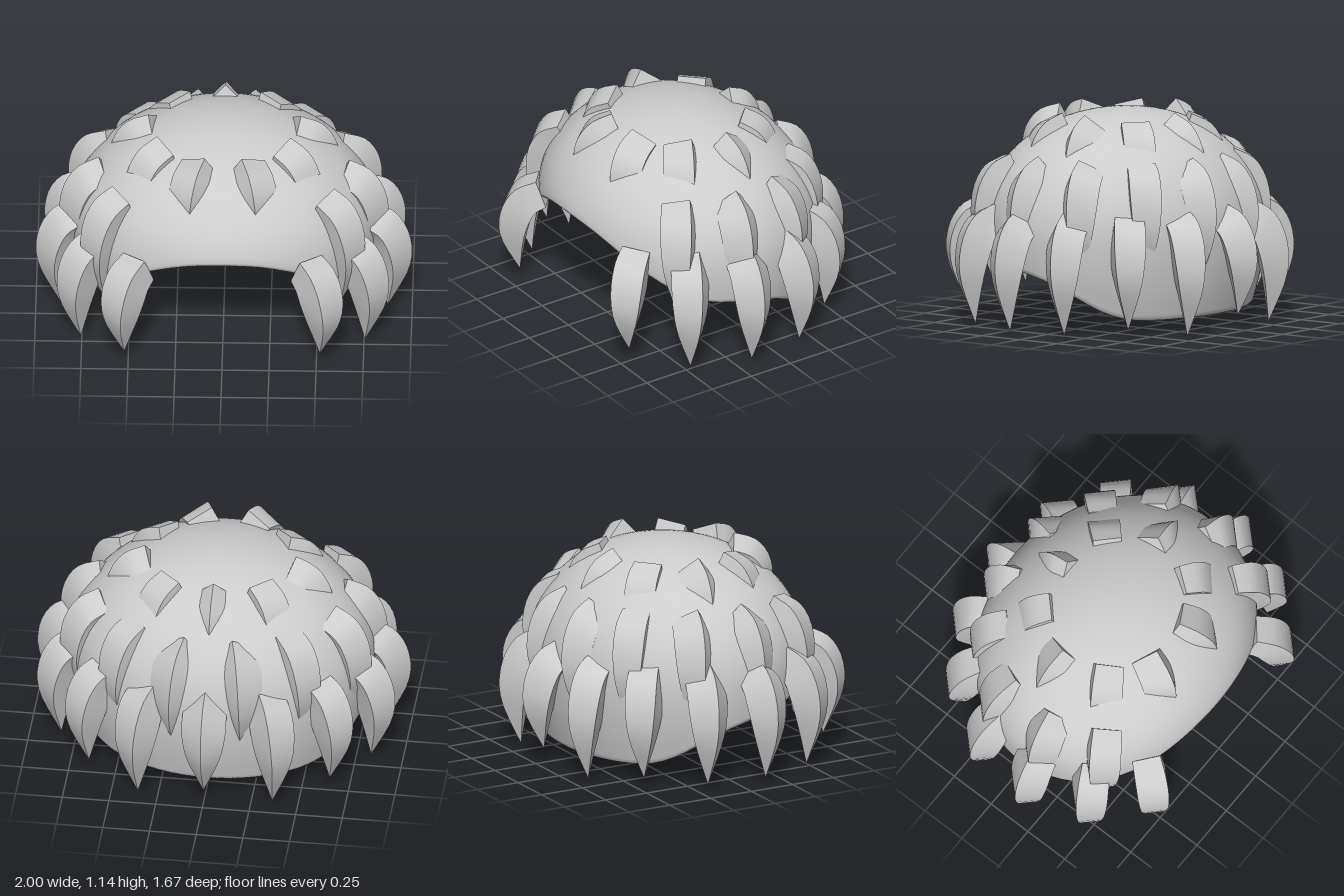
import * as THREE from 'three';

const CZ = 0.05, RX = 0.82, RZ = 0.705, TOP = 1.14;

// lower rim height as a function of z, front to back
const RIM = [[0.75, 0.68], [0.72, 0.65], [0.6, 0.51], [0.45, 0.4], [0.35, 0.365], [0.1, 0.34],
  [-0.1, 0.28], [-0.22, 0.2], [-0.38, 0.11], [-0.5, 0.095], [-0.66, 0.095]];
function rimHeight(z) {
  if (z >= RIM[0][0]) return RIM[0][1];
  for (let i = 1; i < RIM.length; i++) {
    const [z0, y0] = RIM[i - 1], [z1, y1] = RIM[i];
    if (z >= z1) return y0 + (y1 - y0) * (z0 - z) / (z0 - z1);
  }
  return 0.095;
}

// relative radius of the dome at a height; the widest level rises toward the front
function girth(y, front) {
  const mid = 0.52 + 0.07 * front;
  if (y < mid) return 1 - 0.1 * ((mid - y) / 0.45) ** 2;
  return Math.pow(Math.max(0, 1 - Math.pow((y - mid) / (TOP - mid), 2.03)), 0.49);
}

// dome with a thick rounded rim, thinner above it
function domeGeometry() {
  const N = 72, M = 24, RND = 6, THICK = 0.055, THIN = 0.025;
  const columns = [];
  for (let i = 0; i < N; i++) {
    const a = i / N * Math.PI * 2, s = Math.sin(a), c = Math.cos(a);
    const front = Math.max(0, c) ** 2;
    let rim = 0;
    for (let k = -2; k <= 2; k++) rim += rimHeight(CZ + RZ * Math.cos(a + k * 0.06)) / 5;
    rim += 0.02;
    const col = [];
    const put = (g, y, inset) => col.push([s * Math.max(0, RX * g - inset), y, CZ + c * Math.max(0, RZ * g - inset)]);
    const rowHeight = (j) => TOP - (TOP - rim) * (1 - Math.cos(j / M * Math.PI / 2));
    for (let j = 0; j <= M; j++) put(girth(rowHeight(j), front), rowHeight(j), 0);
    for (let j = 1; j < RND; j++) {
      const b = j / RND * Math.PI;
      put(girth(rim, front), rim - Math.sin(b) * 0.03, THICK / 2 * (1 - Math.cos(b)));
    }
    for (let j = M; j >= 0; j--) {
      const y = rowHeight(j), thick = THICK + (THIN - THICK) * Math.min(1, (y - rim) / 0.14);
      put(girth(y, front), y - THIN * (y - rim) / (TOP - rim), thick);
    }
    columns.push(col);
  }
  const rows = columns[0].length, pos = [], idx = [];
  for (let j = 0; j < rows; j++) for (let i = 0; i < N; i++) pos.push(...columns[i][j]);
  for (let j = 0; j < rows - 1; j++) for (let i = 0; i < N; i++) {
    const k = (i + 1) % N, a = j * N + i, b = a + N, c = j * N + k, d = c + N;
    idx.push(a, b, c, c, b, d);
  }
  return finish(pos, idx);
}

function finish(pos, idx) {
  const g = new THREE.BufferGeometry();
  g.setAttribute('position', new THREE.Float32BufferAttribute(pos, 3));
  g.setIndex(idx);
  g.computeVertexNormals();
  return g;
}

// claw stations: outward offset, height above the tip / half width, tilt
const curve = (pts) => new THREE.CatmullRomCurve3(pts.map(([a, b]) => new THREE.Vector3(a, b, 0)), false, 'catmullrom');
const PATH = curve([[-0.12, 0.54], [-0.035, 0.49], [0.015, 0.38], [0.03, 0.23], [0, 0]]);
const SIZE = curve([[0.108, 1.2], [0.118, 0.8], [0.115, 0.35], [0.085, 0.05], [0.001, -0.1]]);

// four-sided curved claw, leaning away from the dome centre
function clawGeometry(x, z, tipY, stretch) {
  const STEPS = 14, dir = new THREE.Vector2(x, z - CZ).normalize();
  const corners = [[1, 0], [0, 1], [-1, 0], [0, -1]], pos = [], idx = [];
  const point = (t, k) => {
    const p = PATH.getPoint(t), q = SIZE.getPoint(t);
    const cx = corners[k][0] * q.x, cz = corners[k][1] * q.x;
    const out = cx * dir.x + cz * dir.y;
    const r = p.x + out * (Math.cos(q.y) - 1);
    return [x + cx + dir.x * r, tipY + p.y * stretch + out * Math.sin(q.y), z + cz + dir.y * r];
  };
  for (let k = 0; k < 4; k++) {
    const base = pos.length / 3;
    for (let j = 0; j <= STEPS; j++) pos.push(...point(j / STEPS, k), ...point(j / STEPS, (k + 1) % 4));
    for (let j = 0; j < STEPS; j++) {
      const a = base + j * 2;
      idx.push(a, a + 1, a + 2, a + 1, a + 3, a + 2);
    }
  }
  const cap = pos.length / 3;
  for (let k = 0; k < 4; k++) pos.push(...point(0, k));
  idx.push(cap, cap + 3, cap + 2, cap, cap + 2, cap + 1);
  return finish(pos, idx);
}

// claw positions for one half: x, z, tip height, length factor
const RINGS = {
  upperClaw: [[0, -0.36, 0.47, 1.05], [0.305, -0.27, 0.47, 1.05], [0.485, -0.01, 0.48, 1.05],
    [0.4, 0.29, 0.5, 1.02], [0.165, 0.47, 0.7, 0.65]],
  middleClaw: [[0.18, -0.57, 0.26, 1.06], [0.47, -0.43, 0.28, 1.05], [0.705, -0.18, 0.28, 1.05],
    [0.745, 0.15, 0.28, 1.05], [0.63, 0.465, 0.28, 1.05]],
  lowerClaw: [[0, -0.7, 0.09, 0.91], [0.36, -0.635, 0.01, 1.06], [0.645, -0.455, 0.06, 0.98], [0.83, -0.17, 0.03, 1.03],
    [0.87, 0.16, 0.03, 1.03], [0.755, 0.475, 0.03, 1.03], [0.52, 0.71, 0.1, 0.9]],
};

export function createModel() {
  const group = new THREE.Group();
  const grey = new THREE.MeshStandardMaterial({ color: 0xcccccc });
  grey.name = 'light grey';
  const add = (geometry, name) => {
    const mesh = new THREE.Mesh(geometry, grey);
    mesh.name = name;
    group.add(mesh);
  };
  add(domeGeometry(), 'dome');
  for (const [name, list] of Object.entries(RINGS)) {
    for (const [x, z, y, s] of list) {
      for (const side of x ? [1, -1] : [1]) add(clawGeometry(x * side, z, y, s), name);
    }
  }
  return group;
}
